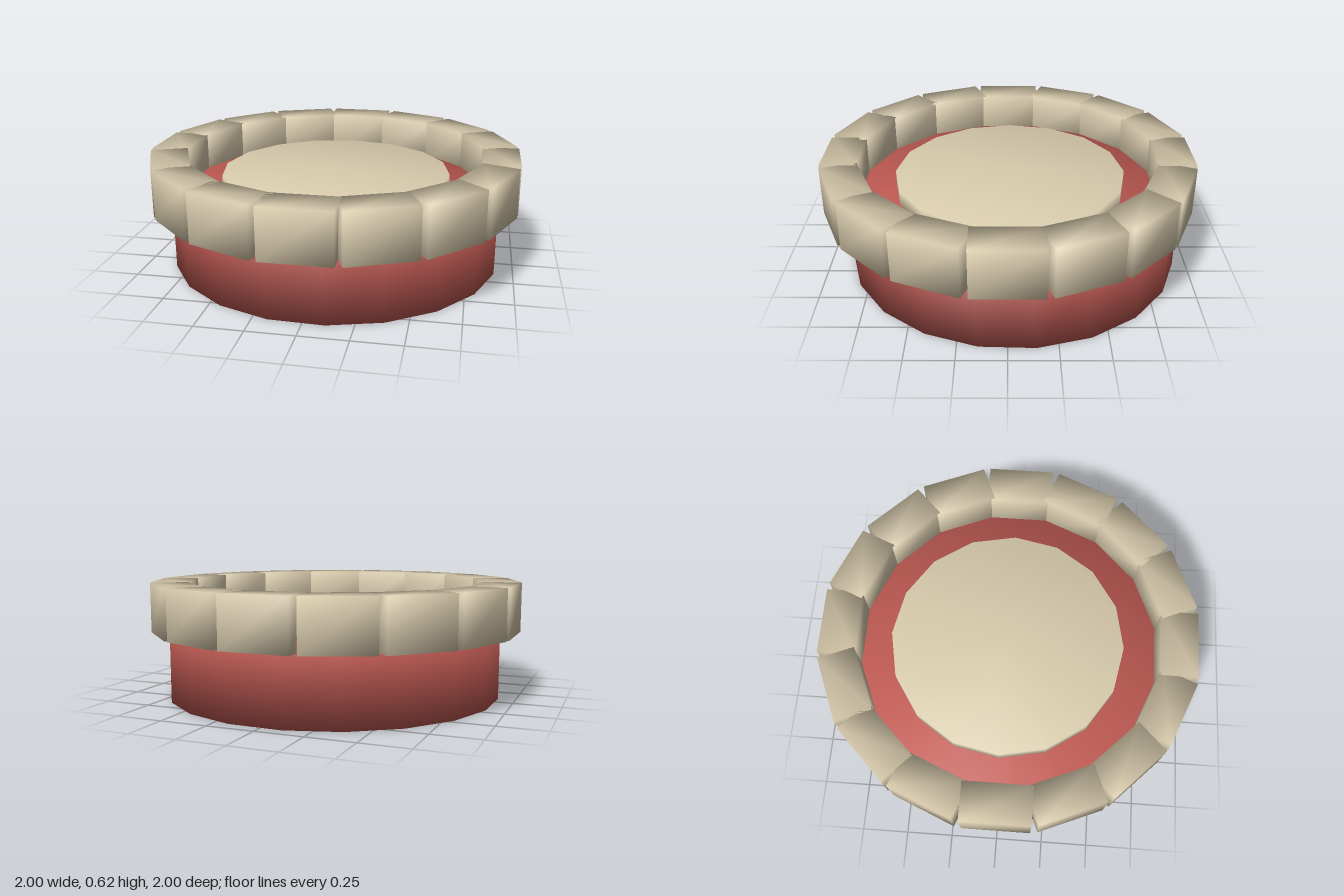
import * as THREE from 'three';
import { mergeVertices } from 'three/addons/utils/BufferGeometryUtils.js';

const cream = new THREE.MeshStandardMaterial({ color: 0xd9ccae });
cream.name = 'cream';
const red = new THREE.MeshStandardMaterial({ color: 0xc05a53 });
red.name = 'red';

// Share every corner so the shading runs softly across the edges
function soften(geometry) {
  geometry.deleteAttribute('normal');
  geometry.deleteAttribute('uv');
  geometry.clearGroups();
  const merged = mergeVertices(geometry, 1e-4);
  merged.computeVertexNormals();
  return merged;
}

// Upright disc between two heights
function disc(name, radius, sides, turn, bottom, top, z, material) {
  const geometry = new THREE.CylinderGeometry(radius, radius, top - bottom, sides);
  geometry.rotateY(turn);
  const mesh = new THREE.Mesh(soften(geometry), material);
  mesh.name = name;
  mesh.position.set(0, (top + bottom) / 2, z);
  return mesh;
}

export function createModel() {
  const model = new THREE.Group();
  model.name = 'roundBase';

  // Red drum and the raised plate on top of it
  model.add(disc('drum', 0.915, 20, THREE.MathUtils.degToRad(7), 0, 0.42, -0.03, red));
  model.add(disc('centrePlate', 0.632, 16, 0, 0.38, 0.5, -0.01, cream));

  // Ring of sixteen blocks around the rim
  const ring = new THREE.Group();
  ring.name = 'blockRing';
  const blockGeometry = soften(new THREE.BoxGeometry(0.36, 0.265, 0.2));
  const count = 16;
  for (let i = 0; i < count; i++) {
    const angle = (i / count) * Math.PI * 2;
    const block = new THREE.Mesh(blockGeometry, cream);
    block.name = 'rimBlock';
    block.position.set(Math.sin(angle) * 0.9, 0.4885, Math.cos(angle) * 0.9);
    block.rotation.y = angle;
    ring.add(block);
  }
  model.add(ring);
  return model;
}
